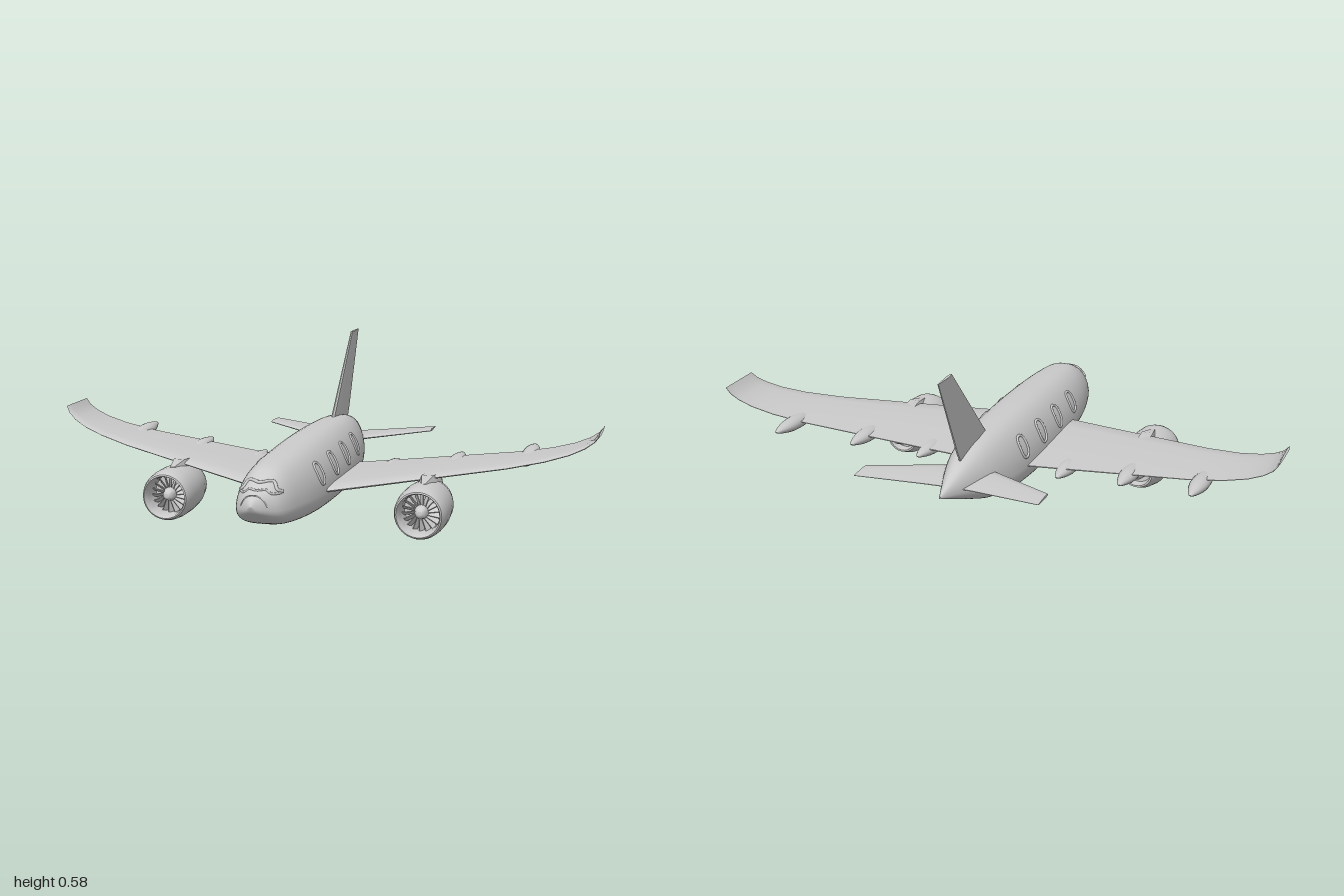
import * as THREE from 'three';
import { toCreasedNormals } from 'three/addons/utils/BufferGeometryUtils.js';

const V = (x, y, z) => new THREE.Vector3(x, y, z);
const mat = new THREE.MeshStandardMaterial({ color: 0xcccccc, side: THREE.DoubleSide });

function add(parent, name, geo, x = 0, y = 0, z = 0) {
  const m = new THREE.Mesh(geo, mat);
  m.name = name;
  m.position.set(x, y, z);
  parent.add(m);
  return m;
}

// Skins a list of closed rings and caps both ends
function loft(rings, crease, flip = false) {
  const n = rings[0].length, pos = [], idx = [];
  rings.forEach(r => r.forEach(p => pos.push(p.x, p.y, p.z)));
  const tri = (a, b, c) => (flip ? idx.push(a, c, b) : idx.push(a, b, c));
  for (let i = 0; i < rings.length - 1; i++) {
    for (let j = 0; j < n; j++) {
      const a = i * n + j, b = i * n + (j + 1) % n;
      tri(a, b, a + n);
      tri(b, b + n, a + n);
    }
  }
  const last = (rings.length - 1) * n;
  for (const [start, end] of [[0, false], [last, true]]) {
    const c = V(0, 0, 0);
    rings[start / n].forEach(p => c.addScaledVector(p, 1 / n));
    const k = pos.push(c.x, c.y, c.z) / 3 - 1;
    for (let j = 0; j < n; j++) {
      const a = start + j, b = start + (j + 1) % n;
      end ? tri(k, a, b) : tri(k, b, a);
    }
  }
  const g = new THREE.BufferGeometry();
  g.setAttribute('position', new THREE.Float32BufferAttribute(pos, 3));
  g.setIndex(idx);
  g.computeVertexNormals();
  return crease ? toCreasedNormals(g, crease) : g;
}

// Fuselage stations: z, bottom, top, half width
const BODY = [
  [-0.667, 0.2, 0.207, 0.003], [-0.6, 0.174, 0.232, 0.028], [-0.5, 0.134, 0.268, 0.065],
  [-0.4, 0.1, 0.292, 0.097], [-0.25, 0.076, 0.303, 0.123], [0, 0.068, 0.306, 0.135],
  [0.25, 0.073, 0.299, 0.132], [0.4, 0.083, 0.291, 0.12], [0.5, 0.095, 0.28, 0.102],
  [0.56, 0.11, 0.256, 0.085], [0.6, 0.13, 0.23, 0.066], [0.64, 0.154, 0.217, 0.037],
  [0.658, 0.17, 0.207, 0.018], [0.667, 0.188, 0.192, 0.003],
];

// Smooth interpolation of the stations at z
function station(z) {
  let i = 0;
  while (i < BODY.length - 2 && z > BODY[i + 1][0]) i++;
  const a = BODY[i], b = BODY[i + 1], p = BODY[i - 1] || a, q = BODY[i + 2] || b;
  const h = b[0] - a[0], t = THREE.MathUtils.clamp((z - a[0]) / h, 0, 1);
  return [1, 2, 3].map(k => {
    const ma = (b[k] - p[k]) / (b[0] - p[0]) * h, mb = (q[k] - a[k]) / (q[0] - a[0]) * h;
    return (2 * t ** 3 - 3 * t * t + 1) * a[k] + (t ** 3 - 2 * t * t + t) * ma
      + (3 * t * t - 2 * t ** 3) * b[k] + (t ** 3 - t * t) * mb;
  });
}

// Point on the fuselage skin: broad below, tapering to the roof
function skin(z, ang) {
  const [lo, hi, w] = station(z), c = Math.cos(ang), s = Math.sin(ang);
  const mid = lo + (hi - lo) * 0.35;
  const x = w * Math.sign(c) * Math.abs(c) ** (s > 0 ? 0.75 : 0.6) * (1 - 0.22 * Math.max(0, s));
  const y = mid + (s > 0 ? hi - mid : mid - lo) * Math.sign(s) * Math.abs(s) ** 0.8;
  return V(x, y, z);
}

// Thin flying surface; stations: x, y, leading z, trailing z, thickness
function foil(stations, side) {
  const prof = [[0, 0], [0.03, 0.6], [0.2, 1], [0.5, 0.85], [0.8, 0.5], [1, 0.15],
    [1, -0.15], [0.8, -0.5], [0.5, -0.85], [0.2, -1], [0.03, -0.6]];
  const rings = stations.map(([x, y, lead, trail, t], i) => {
    const p = stations[Math.max(0, i - 1)], q = stations[Math.min(stations.length - 1, i + 1)];
    const tilt = Math.atan2(q[1] - p[1], q[0] - p[0]);
    return prof.map(([u, v]) => V(side * (x - Math.sin(tilt) * v * t / 2),
      y + Math.cos(tilt) * v * t / 2, lead + (trail - lead) * u));
  });
  return loft(rings, 0.7, side > 0);
}

function engine() {
  const g = new THREE.Group();
  g.name = 'engine';
  const lathe = (pts, seg = 40) => toCreasedNormals(
    new THREE.LatheGeometry(pts.map(p => new THREE.Vector2(...p)), seg).rotateX(Math.PI / 2), 0.6);
  add(g, 'nacelle', lathe([[0, 0.03], [0.046, 0.03], [0.05, 0], [0.056, 0], [0.073, 0.04],
    [0.085, 0.09], [0.09, 0.15], [0.09, 0.21], [0.086, 0.25], [0.08, 0.267], [0.075, 0.27],
    [0.07, 0.258], [0.067, 0.235], [0.066, 0.18], [0, 0.18]]));
  add(g, 'exhaustCone', lathe([[0, -0.05], [0.007, -0.046], [0.027, 0], [0.032, 0.035]], 24));
  add(g, 'spinner', lathe([[0.024, 0.18], [0.024, 0.215], [0.018, 0.235], [0.008, 0.245], [0, 0.247]], 24));
  // Fan blades
  for (let i = 0; i < 18; i++) {
    const b = new THREE.BoxGeometry(0.003, 0.046, 0.022).rotateY(0.6).translate(0, 0.044, 0.205);
    add(g, 'fanBlade', b.rotateZ(i / 18 * Math.PI * 2));
  }
  return g;
}

export function createModel() {
  const plane = new THREE.Group();
  plane.name = 'airplane';

  // Fuselage
  const rings = [];
  for (let i = 0; i <= 64; i++) {
    const z = -0.667 * Math.cos(i / 64 * Math.PI);
    rings.push(Array.from({ length: 48 }, (_, j) => skin(z, j / 48 * Math.PI * 2)));
  }
  add(plane, 'fuselage', loft(rings));

  // Windscreen brow and nose seams follow the skin
  const line = (name, pts, r) => add(plane, name, new THREE.TubeGeometry(
    new THREE.CatmullRomCurve3(pts.map(([z, a]) => skin(z, Math.PI / 2 + a))), 48, r, 8));
  line('windscreenBrow', [[0.55, -1.05], [0.566, -0.85], [0.552, -0.5], [0.572, 0],
    [0.552, 0.5], [0.566, 0.85], [0.55, 1.05]], 0.006);
  line('windscreenSill', [[0.56, -1.05], [0.592, -0.75], [0.592, -0.4], [0.603, 0],
    [0.592, 0.4], [0.592, 0.75], [0.56, 1.05]], 0.004);
  line('noseSeam', [[0.628, -1.4], [0.632, -0.7], [0.634, 0], [0.632, 0.7], [0.628, 1.4]], 0.003);

  // Tail fin
  const fin = [[-0.26, -0.5, 0.26, 0.02], [-0.295, -0.527, 0.305, 0.018], [-0.56, -0.665, 0.585, 0.01]];
  add(plane, 'tailFin', loft(fin.map(([f, b, y, t]) => [[0, 0], [0.04, 0.7], [0.3, 1], [1, 0.3],
    [1, -0.3], [0.3, -1], [0.04, -0.7]].map(([u, v]) => V(v * t / 2, y, f + (b - f) * u))), 0.5));

  for (const s of [1, -1]) {
    const side = s > 0 ? 'left' : 'right';
    // Wing with upswept tip
    add(plane, side + 'Wing', foil([
      [0.03, 0.145, 0.295, -0.205, 0.026], [0.14, 0.155, 0.25, -0.214, 0.024],
      [0.3, 0.172, 0.183, -0.23, 0.021], [0.5, 0.194, 0.1, -0.25, 0.017],
      [0.7, 0.216, 0.016, -0.27, 0.014], [0.82, 0.236, -0.034, -0.282, 0.012],
      [0.9, 0.257, -0.067, -0.29, 0.011], [0.95, 0.278, -0.09, -0.295, 0.01],
      [0.98, 0.298, -0.108, -0.298, 0.009], [0.997, 0.32, -0.122, -0.3, 0.008]], s));
    // Horizontal stabilizer
    add(plane, side + 'Stabilizer', foil([[0.01, 0.197, -0.36, -0.565, 0.016],
      [0.09, 0.202, -0.41, -0.58, 0.014], [0.32, 0.218, -0.545, -0.635, 0.008]], s));

    // Cabin windows: rims with a slim pane
    for (const z of [0.27, 0.11, -0.05, -0.21]) {
      const at = (t, k) => {
        const c = Math.cos(t), n = Math.sin(t), e = v => Math.sign(v) * Math.abs(v) ** 0.8;
        const a = 0.41 + 0.27 * k * e(n);
        return skin(z + 0.025 * k * e(c), s > 0 ? a : Math.PI - a);
      };
      const loop = Array.from({ length: 24 }, (_, i) => at(i / 24 * Math.PI * 2, 1));
      add(plane, side + 'WindowRim', new THREE.TubeGeometry(
        new THREE.CatmullRomCurve3(loop, true), 48, 0.005, 8, true));
    }

    // Engine and pylon
    const e = engine();
    e.name = side + 'Engine';
    e.position.set(s * 0.45, 0.095, 0);
    plane.add(e);
    const py = [[0.19, 0.175, 0.186, 0.012], [0.12, 0.165, 0.2, 0.034], [0.02, 0.15, 0.19, 0.034],
      [-0.06, 0.165, 0.188, 0.01]];
    add(plane, side + 'Pylon', loft(py.map(([z, lo, hi, w]) => [V(-w, lo, z), V(-w * 0.6, hi, z),
      V(w * 0.6, hi, z), V(w, lo, z)].map(p => p.setX(p.x + s * 0.45))), 0.4));

    // Flap fairings: pointed spindles under the trailing edge
    const spindle = [[0, -0.135], [0.008, -0.127], [0.02, -0.09], [0.029, -0.045], [0.031, 0],
      [0.028, 0.05], [0.019, 0.1], [0.008, 0.13], [0, 0.138]];
    for (const [x, y, z] of [[0.255, 0.15, -0.15], [0.487, 0.178, -0.195], [0.743, 0.21, -0.262]]) {
      const g = new THREE.LatheGeometry(new THREE.SplineCurve(spindle.map(p =>
        new THREE.Vector2(...p))).getPoints(24), 24);
      g.rotateX(Math.PI / 2).scale(1, 0.75, 1);
      add(plane, side + 'FlapFairing', g, s * x, y, z).rotation.x = 0.07;
    }
  }
  return plane;
}
